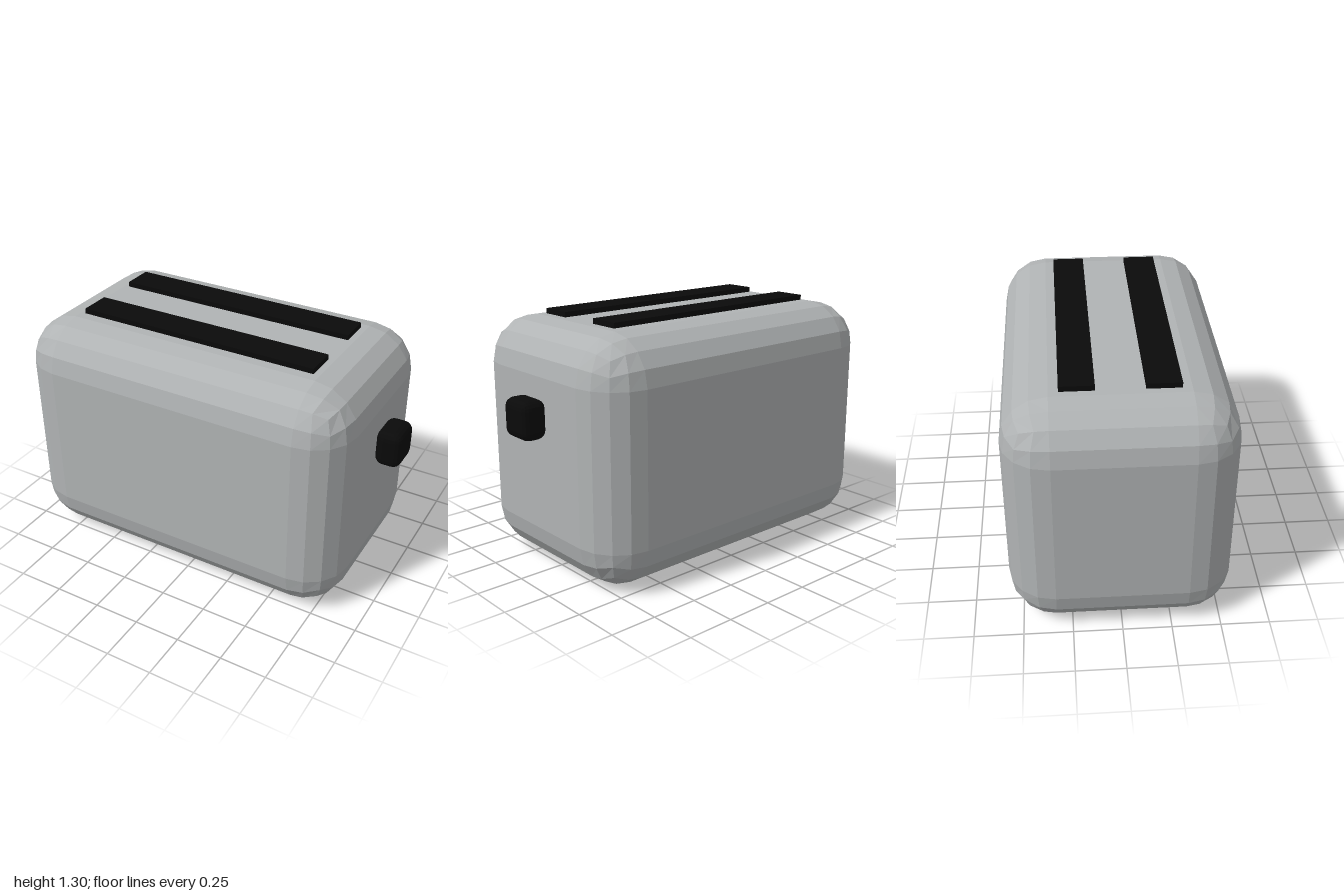
import * as THREE from 'three';

// Box with evenly faceted rounded edges (four flat bands per quarter turn)
function bevelledBox(w, h, d, r) {
  const box = new THREE.BoxGeometry(1, 1, 1, 5, 5, 5);
  const pos = box.attributes.position;
  const core = new THREE.Vector3(w / 2 - r, h / 2 - r, d / 2 - r);
  const p = new THREE.Vector3();
  const dir = new THREE.Vector3();
  const spread = (c) => Math.sign(c) * Math.tan(((Math.abs(c) - 0.1) / 0.4) * (Math.PI / 4));
  for (let i = 0; i < pos.count; i++) {
    p.fromBufferAttribute(pos, i);
    dir.set(spread(p.x), spread(p.y), spread(p.z)).normalize().multiplyScalar(r);
    pos.setXYZ(
      i,
      Math.sign(p.x) * core.x + dir.x,
      Math.sign(p.y) * core.y + dir.y,
      Math.sign(p.z) * core.z + dir.z
    );
  }
  // Separate faces so each band shades flat
  const flat = box.toNonIndexed();
  flat.computeVertexNormals();
  return flat;
}

export function createModel() {
  const model = new THREE.Group();
  model.name = 'toaster';

  const metal = new THREE.MeshStandardMaterial({ color: 0xb0b3b4 });
  metal.name = 'brushed metal';
  const black = new THREE.MeshStandardMaterial({ color: 0x0a0a0a });
  black.name = 'black plastic';

  const add = (name, geometry, material, x, y, z) => {
    const mesh = new THREE.Mesh(geometry, material);
    mesh.name = name;
    mesh.position.set(x, y, z);
    model.add(mesh);
  };

  // Rounded shell
  const centreX = -0.068;
  add('body', bevelledBox(1.864, 1.27, 1.13, 0.235), metal, centreX, 0.635, 0);

  // Two bread slots along the top
  const slot = new THREE.BoxGeometry(1.333, 0.027, 0.167);
  add('frontSlot', slot, black, centreX, 1.288, 0.2);
  add('backSlot', slot, black, centreX, 1.288, -0.2);

  // Lever knob on the end
  add('leverKnob', bevelledBox(0.136, 0.2, 0.2, 0.045), black, 0.932, 0.836, 0);

  return model;
}
